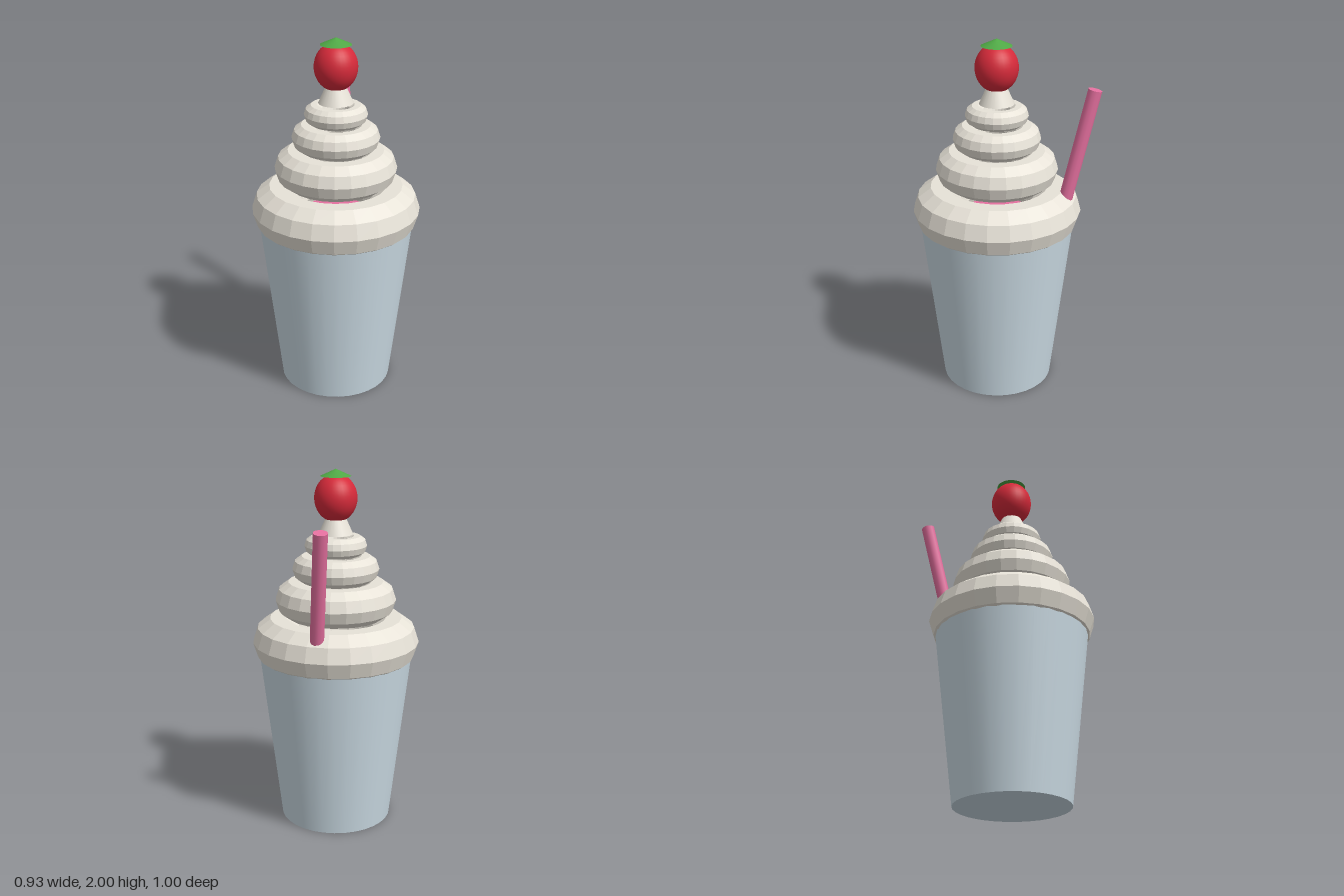
import * as THREE from 'three';

const mat = (name, color, extra = {}) => {
  const m = new THREE.MeshStandardMaterial({ color, ...extra });
  m.name = name;
  return m;
};

export function createModel() {
  const group = new THREE.Group();
  const cream = mat('cream', 0xf0ebe0, { flatShading: true });
  const glass = mat('pale blue cup', 0xcbdbe4, { side: THREE.DoubleSide });
  const pink = mat('pink', 0xe5709f);
  const red = mat('cherry red', 0xd62a3a);
  const green = mat('leaf green', 0x4fa845);
  const axisZ = 0.032;

  const add = (name, geometry, material, y, x = 0, z = axisZ) => {
    const mesh = new THREE.Mesh(geometry, material);
    mesh.name = name;
    mesh.position.set(x, y, z);
    group.add(mesh);
    return mesh;
  };

  // Tapered cup, open at the top, with a closed base
  add('cup', new THREE.CylinderGeometry(0.431, 0.315, 1, 32, 1, true), glass, 0.5);
  add('cupBase', new THREE.CircleGeometry(0.315, 32).rotateX(Math.PI / 2), glass, 0);

  // Drink filling the cup
  add('drink', new THREE.CylinderGeometry(0.415, 0.3, 1, 32), pink, 0.52);

  // Stacked cream rings: [ring radius, tube radius, height]
  [
    [0.323, 0.142, 1.05],
    [0.23, 0.105, 1.288],
    [0.165, 0.075, 1.46],
    [0.117, 0.055, 1.588],
  ].forEach(([ring, tube, y], i) => {
    const geometry = new THREE.TorusGeometry(ring, tube, 10, 24).rotateX(-Math.PI / 2);
    add(`creamRing${i + 1}`, geometry, cream, y);
  });

  // Cream peak under the cherry
  const peak = mat('smooth cream', 0xf0ebe0);
  add('creamPeak', new THREE.ConeGeometry(0.095, 0.21, 24), peak, 1.755);

  // Cherry with a flat leaf cap
  add('cherry', new THREE.SphereGeometry(0.117, 32, 20), red, 1.845).scale.y = 1.11;
  add('leafCap', new THREE.ConeGeometry(0.084, 0.038, 24), green, 1.981);

  // Leaning straw, running down into the cup
  const length = 1.15, tilt = 0.23;
  const straw = add('straw', new THREE.CylinderGeometry(0.038, 0.038, length, 12), pink,
    1.75 - Math.cos(tilt) * length / 2, 0.16, -0.463 + Math.sin(tilt) * length / 2);
  straw.rotation.x = -tilt;

  return group;
}
